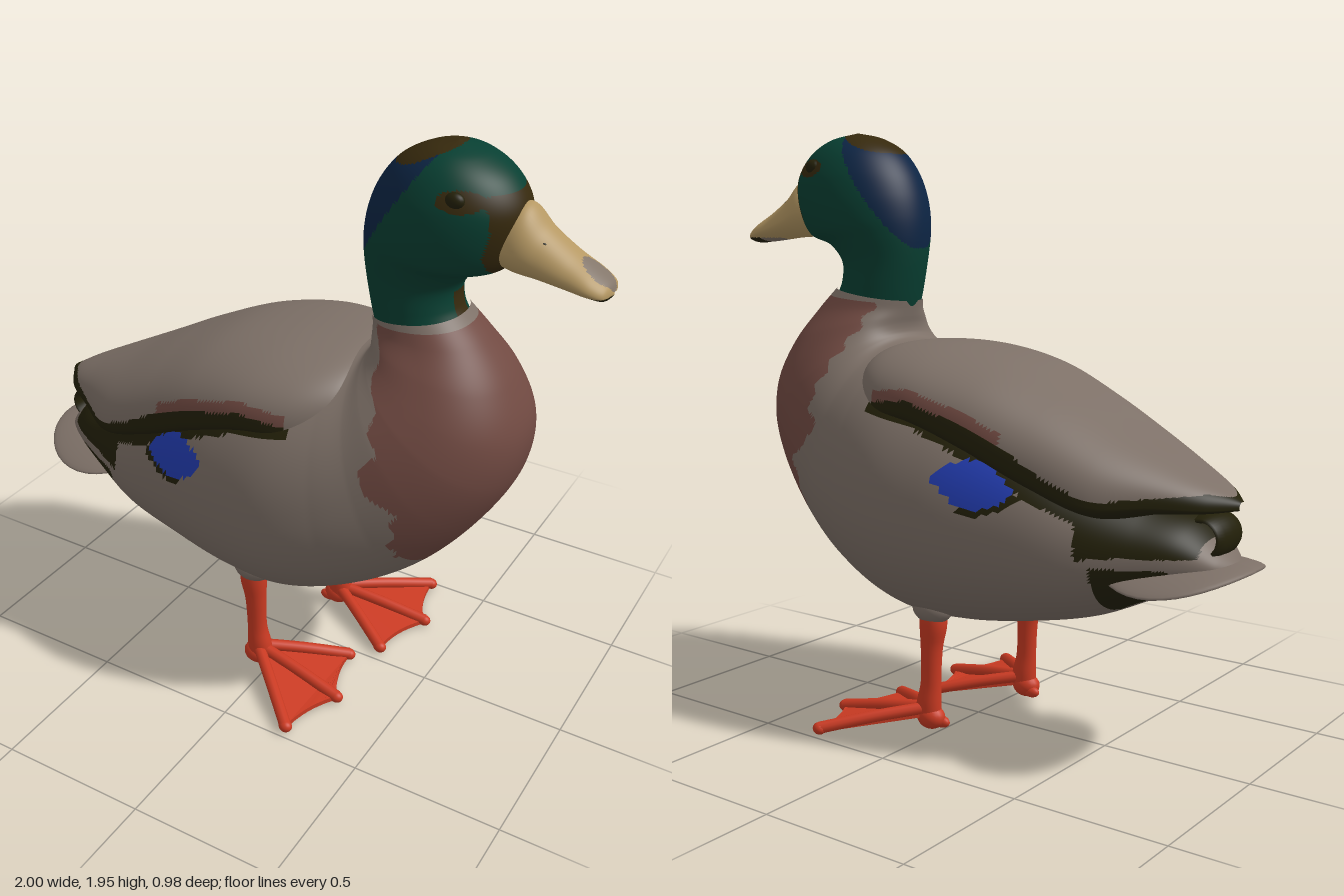
import * as THREE from 'three';

const paint = (name, color) => {
  const m = new THREE.MeshStandardMaterial({ color });
  m.name = name;
  return m;
};
const grey = paint('grey brown plumage', 0x7d7067);
const chestnut = paint('chestnut breast', 0x714a42);
const green = paint('green head', 0x083f32);
const navy = paint('navy nape', 0x0d2544);
const umber = paint('umber face', 0x36290d);
const horn = paint('horn beak', 0xb59863);
const nail = paint('beak nail', 0x83766a);
const orange = paint('orange legs', 0xca3a22);
const blue = paint('blue wing patch', 0x233db2);
const olive = paint('dark olive feathers', 0x232009);

// Piecewise linear lookup in a list of [key, value]
function lookup(table, k) {
  for (let i = 1; i < table.length; i++) {
    const [k0, v0] = table[i - 1], [k1, v1] = table[i];
    if (k <= k1) return v0 + (v1 - v0) * Math.max(0, (k - k0) / (k1 - k0));
  }
  return table[table.length - 1][1];
}

// Skin over cross-sections. Each row: [topX, topY, bottomX, bottomY, halfWidth].
// pick(x, y, z, u) chooses the material of every face.
function loft(name, rows, pick, { steps = 60, ring = 48, power = 2, mid = 0.5 } = {}) {
  const top = new THREE.CatmullRomCurve3(rows.map(r => new THREE.Vector3(r[0], r[1], r[4])));
  const low = new THREE.CatmullRomCurve3(rows.map(r => new THREE.Vector3(r[2], r[3], 0)));
  const bend = v => Math.sign(v) * Math.pow(Math.abs(v), 2 / power);
  const pos = [], byMaterial = new Map();
  for (let i = 0; i <= steps; i++) {
    const t = top.getPoint(i / steps), b = low.getPoint(i / steps);
    for (let j = 0; j < ring; j++) {
      const a = (j / ring) * Math.PI * 2, c = bend(Math.cos(a));
      const k = mid + c * (c > 0 ? 1 - mid : mid);
      pos.push(b.x + (t.x - b.x) * k, b.y + (t.y - b.y) * k, t.z * bend(Math.sin(a)));
    }
  }
  const add = (u, ...f) => {
    const c = [0, 1, 2].map(n => (pos[f[0] * 3 + n] + pos[f[1] * 3 + n] + pos[f[2] * 3 + n]) / 3);
    const m = pick(...c, u);
    if (!byMaterial.has(m)) byMaterial.set(m, []);
    byMaterial.get(m).push(...f);
  };
  for (let i = 0; i < steps; i++) for (let j = 0; j < ring; j++) {
    const a = i * ring + j, b = i * ring + (j + 1) % ring;
    add(i / steps, a, b, a + ring);
    add(i / steps, b, b + ring, a + ring);
  }
  const geo = new THREE.BufferGeometry(), index = [], mats = [];
  for (const [m, faces] of byMaterial) {
    geo.addGroup(index.length, faces.length, mats.length);
    for (const f of faces) index.push(f);
    mats.push(m);
  }
  geo.setAttribute('position', new THREE.Float32BufferAttribute(pos, 3));
  geo.setIndex(index);
  geo.computeVertexNormals();
  const mesh = new THREE.Mesh(geo, mats);
  mesh.name = name;
  return mesh;
}

function ball(name, mat, [x, y, z], [sx, sy, sz]) {
  const mesh = new THREE.Mesh(new THREE.SphereGeometry(1, 20, 14), mat);
  mesh.name = name;
  mesh.position.set(x, y, z);
  mesh.scale.set(sx, sy, sz);
  return mesh;
}

// Leg with a webbed, three-toed foot; side is +1 or -1
function makeLeg(side, x) {
  const leg = new THREE.Group();
  leg.name = side > 0 ? 'leftLeg' : 'rightLeg';
  leg.position.set(x, 0, side * 0.22);
  leg.add(loft('shank', [
    [-0.035, 0.03, 0.06, 0.05, 0.035], [-0.035, 0.09, 0.05, 0.1, 0.036], [-0.035, 0.16, 0.035, 0.16, 0.031],
    [-0.042, 0.28, 0.033, 0.28, 0.034], [-0.058, 0.36, 0.035, 0.36, 0.042], [-0.05, 0.45, 0.03, 0.45, 0.04],
  ], () => orange, { steps: 24, ring: 20 }));
  leg.add(ball('thighFeathers', grey, [-0.01, 0.415, 0], [0.072, 0.052, 0.056]));
  leg.add(ball('heel', orange, [0, 0.045, 0], [0.05, 0.04, 0.04]));
  leg.add(ball('hindToe', orange, [-0.03, 0.03, -0.015 * side], [0.033, 0.02, 0.018]));
  const tips = [[0.265, 0.25], [0.34, 0.04], [0.27, -0.175]].map(([tx, tz]) => [tx, tz * side]);
  for (const [tx, tz] of tips) {
    const path = new THREE.CatmullRomCurve3([[0, 0.078], [0.5, 0.054], [1, 0.022]]
      .map(([k, y]) => new THREE.Vector3(tx * k, y, tz * k)));
    const toe = new THREE.Mesh(new THREE.TubeGeometry(path, 12, 0.02, 10), orange);
    toe.name = 'toe';
    leg.add(toe, ball('claw', orange, [tx, 0.02, tz], [0.023, 0.02, 0.02]));
  }
  // Web with scalloped front edge, sloping down from the ankle
  const [o, m, n] = tips;
  const web = new THREE.Shape();
  web.moveTo(-0.02, 0);
  web.lineTo(...o);
  web.quadraticCurveTo((o[0] + m[0]) * 0.45, (o[1] + m[1]) * 0.45, ...m);
  web.quadraticCurveTo((m[0] + n[0]) * 0.45, (m[1] + n[1]) * 0.45, ...n);
  const geo = new THREE.ExtrudeGeometry(web, { depth: 0.016, bevelEnabled: false, curveSegments: 10 });
  geo.rotateX(Math.PI / 2);
  const p = geo.attributes.position;
  for (let i = 0; i < p.count; i++) {
    p.setY(i, p.getY(i) + 0.022 + 0.05 * Math.max(0, 1 - Math.hypot(p.getX(i), p.getZ(i)) / 0.32));
  }
  geo.computeVertexNormals();
  const webMesh = new THREE.Mesh(geo, orange);
  webMesh.name = 'web';
  leg.add(webMesh);
  return leg;
}

export function createModel() {
  const duck = new THREE.Group();
  duck.name = 'duck';

  // Body from tail to neck
  const breastEdge = [[0.6, 0.51], [0.75, 0.5], [0.88, 0.52], [0.97, 0.4], [1.07, 0.44], [1.2, 0.4], [1.36, 0.345]];
  const bandLow = [[-0.56, 0.775], [-0.45, 0.82], [-0.35, 0.87], [-0.2, 0.95], [0, 1.035], [0.17, 1.06]];
  duck.add(loft('body', [
    [-0.95, 0.645, -0.95, 0.615, 0.02], [-0.91, 0.69, -0.91, 0.61, 0.09], [-0.82, 0.775, -0.8, 0.565, 0.17],
    [-0.7, 0.83, -0.68, 0.515, 0.235], [-0.55, 0.92, -0.52, 0.445, 0.31], [-0.35, 1.07, -0.32, 0.395, 0.375],
    [-0.1, 1.19, -0.08, 0.36, 0.437], [0.1, 1.235, 0.12, 0.365, 0.453], [0.22, 1.25, 0.33, 0.44, 0.415],
    [0.27, 1.26, 0.52, 0.57, 0.372], [0.285, 1.275, 0.68, 0.76, 0.338], [0.29, 1.29, 0.77, 0.93, 0.3],
    [0.29, 1.31, 0.787, 1.08, 0.257], [0.285, 1.335, 0.73, 1.23, 0.21], [0.28, 1.36, 0.64, 1.35, 0.163],
    [0.275, 1.385, 0.562, 1.43, 0.14],
  ], (x, y, z, u) => {
    const jag = 0.012 * Math.sin(y * 70 + z * 25), w = Math.abs(z);
    if (u > 0.975) return grey;
    if (y > 0.6 + Math.max(0, w - 0.12) * 0.6 && x > lookup(breastEdge, y) + jag) return chestnut;
    // Wing patch with a dark lower rim
    const px = x + 0.25, py = y - 0.872 - px * 0.15;
    const patch = Math.abs(px / 0.122) ** 1.5 + Math.abs(py / 0.073) ** 1.5;
    if (patch < 1) return blue;
    if (patch < 1.35 && py < 0 && px < 0.03) return olive;
    // Lower part of the dark wing band
    if (x > -0.56 && x < 0.17 && y > lookup(bandLow, x) && y < lookup(bandLow, x) + 0.1) return olive;
    // Dark feathers above and below the tail
    if (x < -0.55 - (0.8 - y) * 0.1 && x > -0.87 && y > 0.685 - Math.max(0, x + 0.68) * 0.1) return olive;
    if (x < -0.6 && x > -0.8 && y < 0.65 && w > 0.09) return olive;
    return grey;
  }, { steps: 220, ring: 128, power: 2.2, mid: 0.48 }));

  // Folded wings and back, with the dark trailing band
  const wingEdge = [[-0.94, 0.82], [-0.75, 0.8], [-0.6, 0.78], [-0.47, 0.82], [-0.2, 0.94], [0, 1.02], [0.15, 1.04]];
  const bandTop = [[-0.94, 0.035], [-0.88, 0.058], [-0.65, 0.065], [-0.5, 0.085], [-0.35, 0.11], [-0.2, 0.11], [0, 0.085], [0.15, 0.05]];
  duck.add(loft('foldedWings', [
    [-0.95, 0.845, -0.95, 0.82, 0.02], [-0.88, 0.885, -0.88, 0.81, 0.11], [-0.75, 0.95, -0.75, 0.8, 0.205],
    [-0.6, 1.025, -0.6, 0.775, 0.3], [-0.4, 1.13, -0.4, 0.84, 0.345], [-0.2, 1.215, -0.2, 0.93, 0.375],
    [0, 1.255, 0, 1.0, 0.385], [0.15, 1.262, 0.15, 1.01, 0.36], [0.26, 1.25, 0.26, 1.04, 0.29],
    [0.35, 1.2, 0.35, 1.09, 0.17],
  ], (x, y) => {
    const h = y - lookup(wingEdge, x), band = lookup(bandTop, x);
    if (x < 0.15 && h < band) return olive;
    if (x > -0.33 && x < 0.15 && h < band + 0.035) return chestnut;
    return grey;
  }, { steps: 150, ring: 112, power: 2.4, mid: 0.25 }));

  // Tail fan, drooping towards its sides
  const fanGeo = new THREE.SphereGeometry(1, 40, 20).scale(0.24, 0.026, 0.27);
  const fp = fanGeo.attributes.position;
  for (let i = 0; i < fp.count; i++) fp.setY(i, fp.getY(i) - 0.8 * fp.getZ(i) ** 2);
  fanGeo.computeVertexNormals();
  const fan = new THREE.Mesh(fanGeo, grey);
  fan.name = 'tailFan';
  fan.position.set(-0.76, 0.645, 0);
  duck.add(fan);

  // Curled tail feather
  const curl = new THREE.Mesh(new THREE.TorusGeometry(0.056, 0.016, 10, 24, Math.PI * 1.1), olive);
  curl.name = 'tailCurl';
  curl.position.set(-0.855, 0.735, 0);
  curl.rotation.z = Math.PI * 0.4;
  curl.scale.z = 5;
  duck.add(curl);

  // Head and neck
  duck.add(loft('head', [
    [0.283, 1.35, 0.565, 1.415, 0.137], [0.265, 1.42, 0.548, 1.45, 0.135], [0.245, 1.52, 0.545, 1.51, 0.138],
    [0.237, 1.6, 0.59, 1.565, 0.158], [0.24, 1.67, 0.68, 1.6, 0.183], [0.255, 1.74, 0.725, 1.68, 0.192],
    [0.285, 1.81, 0.735, 1.78, 0.183], [0.34, 1.88, 0.69, 1.86, 0.15], [0.42, 1.925, 0.61, 1.915, 0.095],
    [0.51, 1.945, 0.511, 1.945, 0.0005],
  ], (x, y, z) => {
    const w = Math.abs(z);
    if (y > 1.87 && Math.hypot((x - 0.43) / 0.1, z / 0.11) < 1) return umber;
    if (y > 1.56 && x < 0.25 + (y - 1.57) * 0.68) return navy;
    if (x > 0.63 + Math.abs(y - 1.77) * 0.2 && w < 0.13 && y > 1.59 && y < 1.84) return umber;
    if (Math.hypot((x - 0.59) / 0.065, (y - 1.825) / 0.03) < 1) return umber;
    if (x > 0.5 && y < 1.5 && w < 0.035) return umber;
    return green;
  }, { steps: 110, ring: 96 }));

  // Beak
  duck.add(loft('beak', [
    [0.66, 1.79, 0.67, 1.61, 0.09], [0.735, 1.805, 0.72, 1.597, 0.098], [0.8, 1.745, 0.79, 1.592, 0.09],
    [0.88, 1.69, 0.87, 1.583, 0.083], [0.945, 1.652, 0.945, 1.576, 0.08], [0.985, 1.625, 0.985, 1.575, 0.06],
    [1.0, 1.6, 1.0, 1.59, 0.01],
  ], (x, y, z) => {
    if (x > 0.93 && y < 1.592) return olive;
    if (x > 0.84 && y < 1.592) return nail;
    if (y > 1.6 && Math.hypot((x - 0.95) / 0.05, z / 0.045) < 1) return nail;
    return horn;
  }, { steps: 64, ring: 56, mid: 0.4, power: 1.9 }));

  for (const side of [1, -1]) {
    duck.add(ball('eye', olive, [0.575, 1.828, side * 0.155], [0.03, 0.024, 0.02]));
    duck.add(ball('nostril', olive, [0.79, 1.712, side * 0.053], [0.022, 0.01, 0.01]));
    duck.add(makeLeg(side, side > 0 ? -0.045 : 0.03));
  }
  return duck;
}
